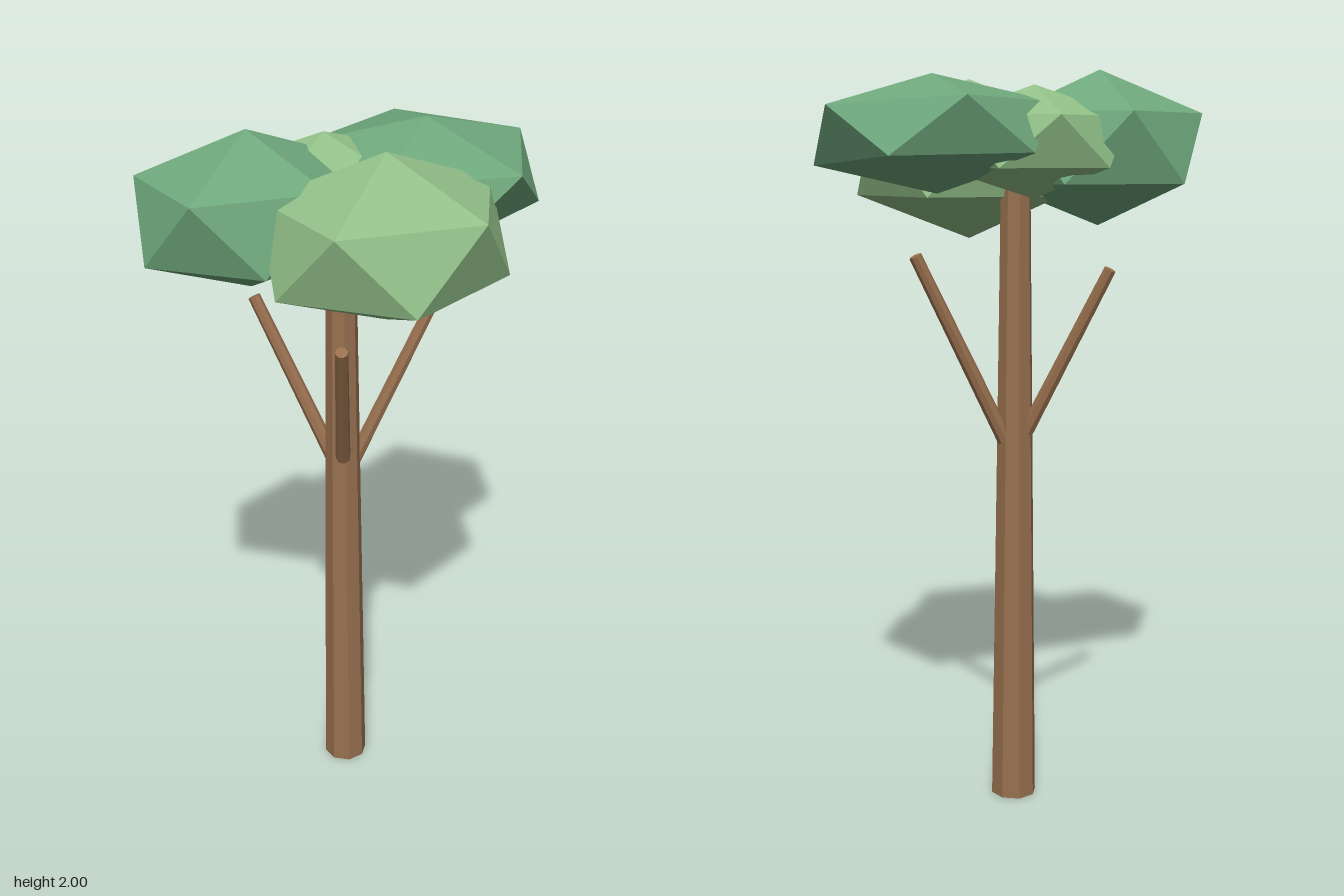
import * as THREE from 'three';
import { ConvexGeometry } from 'three/addons/geometries/ConvexGeometry.js';

const material = (color) => new THREE.MeshStandardMaterial({ color, flatShading: true });

// Icosahedron standing on one vertex: two poles and two staggered rings of five.
function crownGeometry() {
  const points = [new THREE.Vector3(0, 1, 0), new THREE.Vector3(0, -1, 0)];
  const h = 1 / Math.sqrt(5);
  for (let i = 0; i < 5; i++) {
    const a = (i * 2 * Math.PI) / 5;
    points.push(new THREE.Vector3(2 * h * Math.cos(a), h, 2 * h * Math.sin(a)));
    points.push(new THREE.Vector3(-2 * h * Math.cos(a), -h, -2 * h * Math.sin(a)));
  }
  return new ConvexGeometry(points);
}

// Tapered eight-sided limb between two points.
function limb(name, from, to, r0, r1, mat) {
  const a = new THREE.Vector3(...from);
  const dir = new THREE.Vector3(...to).sub(a);
  const length = dir.length();
  const geometry = new THREE.CylinderGeometry(r1, r0, length, 8);
  geometry.rotateY(Math.PI / 8);
  const mesh = new THREE.Mesh(geometry, mat);
  mesh.name = name;
  mesh.position.copy(a).addScaledVector(dir, 0.5);
  mesh.quaternion.setFromUnitVectors(new THREE.Vector3(0, 1, 0), dir.normalize());
  return mesh;
}

export function createModel() {
  const tree = new THREE.Group();
  tree.name = 'tree';
  const bark = material(0x98704f);
  const darkLeaf = material(0x6fa87c);
  const lightLeaf = material(0x92c088);

  // Trunk and three bare branches
  tree.add(
    limb('trunk', [-0.013, 0, -0.113], [-0.013, 1.75, -0.113], 0.063, 0.04, bark),
    limb('leftBranch', [0.02, 1.02, -0.112], [0.255, 1.52, -0.035], 0.021, 0.017, bark),
    limb('frontBranch', [-0.03, 1.06, -0.085], [-0.155, 1.485, 0.11], 0.021, 0.017, bark),
    limb('backBranch', [-0.03, 1.04, -0.14], [-0.155, 1.485, -0.332], 0.021, 0.017, bark)
  );

  // Squashed foliage clumps: name, centre, half sizes, tilt, material
  const geometry = crownGeometry();
  const clumps = [
    ['frontFoliage', [-0.03, 1.765, 0.12], [0.355, 0.215, 0.325], 0, lightLeaf],
    ['rightFoliage', [-0.25, 1.795, -0.17], [0.33, 0.205, 0.28], 0, darkLeaf],
    ['leftFoliage', [0.23, 1.83, -0.09], [0.352, 0.15, 0.333], 0.07, darkLeaf],
    ['backFoliage', [-0.02, 1.81, -0.18], [0.29, 0.145, 0.245], 0, lightLeaf],
  ];
  for (const [name, centre, size, tilt, mat] of clumps) {
    const clump = new THREE.Mesh(geometry, mat);
    clump.name = name;
    clump.position.set(...centre);
    clump.scale.set(...size);
    clump.rotation.x = tilt;
    tree.add(clump);
  }
  return tree;
}
